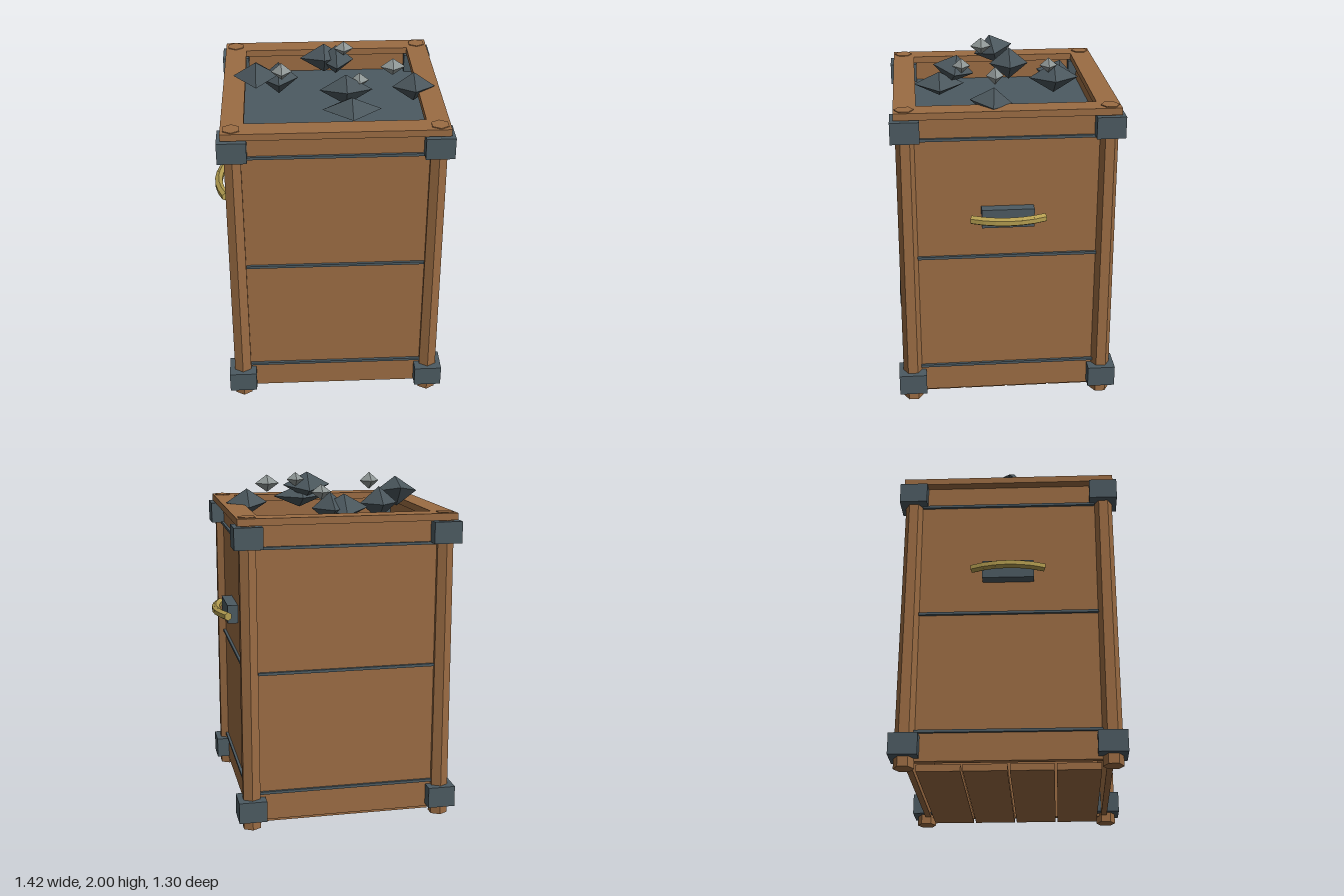
import * as THREE from 'three';

const mat = (name, color) => {
  const m = new THREE.MeshStandardMaterial({ color });
  m.name = name;
  m.flatShading = true;
  return m;
};

export function createModel() {
  const wood = mat('wood', 0x9b6c43);
  const iron = mat('iron', 0x4c5a61);
  const rope = mat('rope', 0xb39d50);
  const ore = mat('dark ore', 0x4a565c);
  const paleOre = mat('pale ore', 0x8e9695);

  const model = new THREE.Group();
  model.name = 'oreCrate';

  const add = (name, geometry, material, x, y, z, parent = model) => {
    const mesh = new THREE.Mesh(geometry, material);
    mesh.name = name;
    mesh.position.set(x, y, z);
    parent.add(mesh);
    return mesh;
  };
  const box = (name, material, w, h, d, x, y, z, parent) =>
    add(name, new THREE.BoxGeometry(w, h, d), material, x, y, z, parent);

  // Four walls, each with three thin iron bands
  for (let i = 0; i < 4; i++) {
    const side = new THREE.Group();
    side.name = 'wall';
    side.rotation.y = (i * Math.PI) / 2;
    box('wallPanel', wood, 1.08, 1.75, 0.035, 0, 0.915, 0.557, side);
    for (const y of [0.21, 0.932, 1.655]) {
      box('ironBand', iron, 1.04, 0.016, 0.024, 0, y, 0.578, side);
    }
    model.add(side);
  }

  // Hexagonal corner posts with iron brackets near both ends
  for (const x of [-0.57, 0.57]) {
    for (const z of [-0.57, 0.57]) {
      add('cornerPost', new THREE.CylinderGeometry(0.053, 0.058, 1.833, 6), wood, x, 0.9165, z);
      for (const y of [0.12, 1.72]) {
        box('cornerBracket', iron, 0.163, 0.125, 0.163, x, y, z);
      }
    }
  }

  // Floor planks running from side to side
  for (let i = 0; i < 4; i++) {
    box('floorPlank', wood, 1.04, 0.04, 0.245, 0, 0.02, (i - 1.5) * 0.258);
  }

  // Top rim as a square frame
  const frame = new THREE.Shape();
  const square = (path, r) =>
    path.moveTo(-r, -r).lineTo(r, -r).lineTo(r, r).lineTo(-r, r).closePath();
  square(frame, 0.63);
  const opening = new THREE.Path();
  square(opening, 0.503);
  frame.holes.push(opening);
  const rim = new THREE.ExtrudeGeometry(frame, { depth: 0.04, bevelEnabled: false });
  rim.rotateX(-Math.PI / 2);
  add('topRim', rim, wood, 0, 1.788, 0);

  // Bed of ore inside the crate
  box('oreBed', iron, 1.08, 0.06, 1.08, 0, 1.64, 0);

  // Curved rope handles made of short segments, with iron backplates
  const radius = 0.467;
  const step = 0.152;
  for (const s of [1, -1]) {
    const handle = new THREE.Group();
    handle.name = s > 0 ? 'leftHandle' : 'rightHandle';
    box('handlePlate', iron, 0.07, 0.11, 0.3, s * 0.602, 1.19, 0, handle);
    for (let i = 0; i < 6; i++) {
      const a = (i - 2.5) * step;
      const segment = add('handleSegment', new THREE.CylinderGeometry(0.026, 0.026, 0.078, 6), rope,
        s * (0.688 - radius + radius * Math.cos(a)), 1.192, radius * Math.sin(a), handle);
      segment.rotation.set(Math.PI / 2, 0, s * a);
    }
    model.add(handle);
  }

  // Ore chunks: centre, radii and forward tilt
  const chunk = (name, material, [x, y, z, rx, ry, rz, tilt = 0]) => {
    const geometry = new THREE.OctahedronGeometry(1, 0);
    geometry.scale(rx, ry, rz);
    add(name, geometry, material, x, y, z).rotation.x = tilt;
  };
  [
    [-0.437, 1.89, 0.005, 0.132, 0.092, 0.122, 0.25],
    [-0.305, 1.83, -0.085, 0.115, 0.1, 0.12],
    [0.073, 1.912, 0.275, 0.15, 0.085, 0.122, -0.25],
    [0.102, 1.833, 0.362, 0.167, 0.07, 0.147],
    [-0.025, 1.84, -0.345, 0.148, 0.085, 0.125, -0.25],
    [0.047, 1.838, -0.322, 0.108, 0.092, 0.147],
    [0.48, 1.833, 0.08, 0.125, 0.085, 0.125, -0.15],
  ].forEach((c) => chunk('oreChunk', ore, c));
  [
    [-0.288, 1.948, 0.09, 0.06, 0.052, 0.065],
    [0.092, 1.926, -0.283, 0.06, 0.045, 0.052],
    [0.358, 1.948, 0.053, 0.073, 0.052, 0.05],
    [0.15, 1.95, 0.233, 0.055, 0.045, 0.052],
  ].forEach((c) => chunk('paleOreChunk', paleOre, c));

  return model;
}
